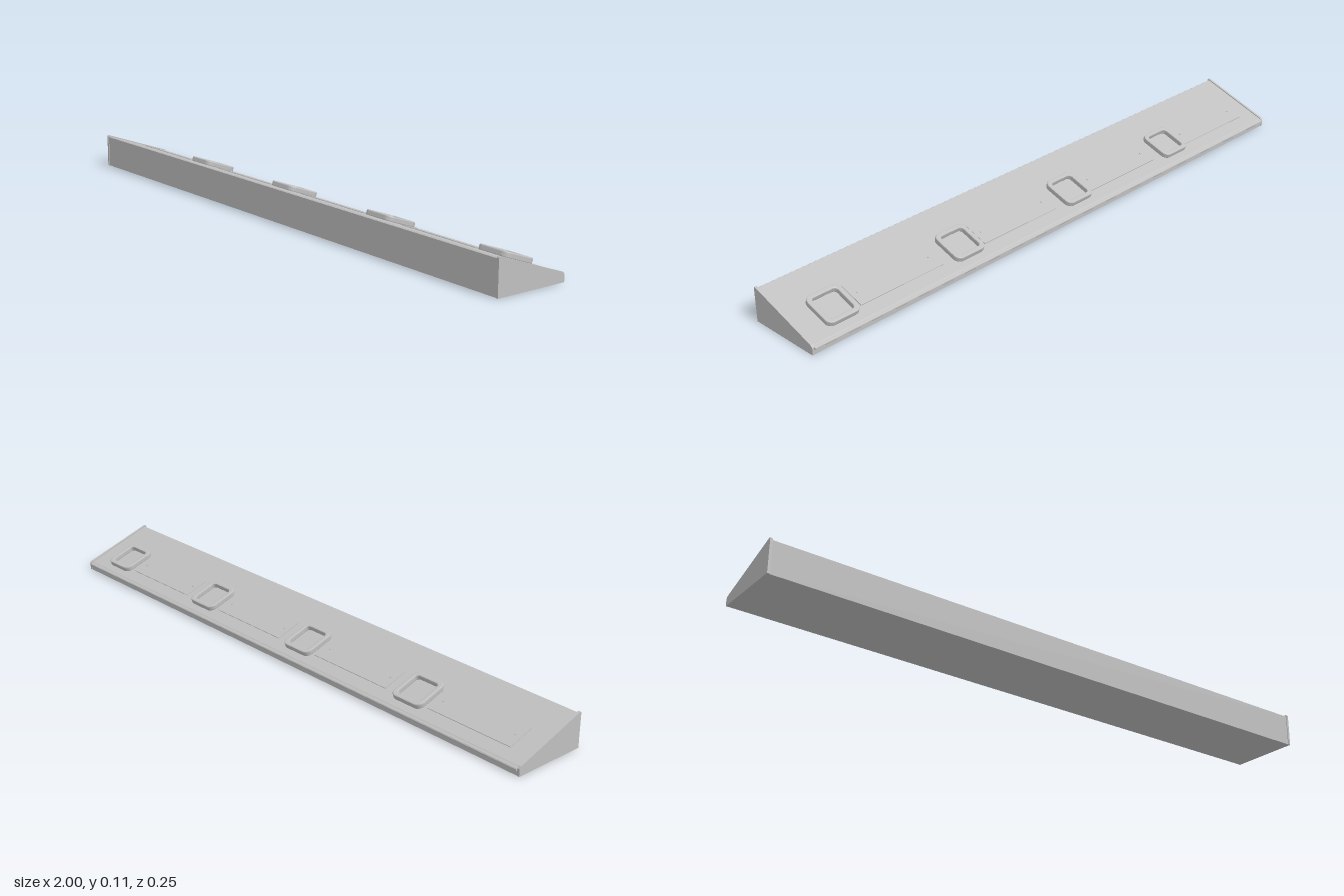
import * as THREE from 'three';

const SLOPE = 0.335; // tilt of the top face
const PITCH = 0.472; // spacing of the four repeated units

const grey = new THREE.MeshStandardMaterial({ color: 0xc0c0c0 });
grey.name = 'light grey';

function add(parent, name, geometry, x = 0, y = 0, z = 0) {
  const mesh = new THREE.Mesh(geometry, grey);
  mesh.name = name;
  mesh.position.set(x, y, z);
  parent.add(mesh);
  return mesh;
}

// Extrude a (z, y) side profile along x, centred on x = 0
function prism(points, length) {
  const shape = new THREE.Shape(points.map(([z, y]) => new THREE.Vector2(-z, y)));
  const g = new THREE.ExtrudeGeometry(shape, { depth: length, bevelEnabled: false });
  return g.translate(0, 0, -length / 2).rotateY(Math.PI / 2);
}

function roundedSquare(path, half, r) {
  path.moveTo(half, -half + r);
  path.absarc(half - r, half - r, r, 0, Math.PI / 2);
  path.absarc(-half + r, half - r, r, Math.PI / 2, Math.PI);
  path.absarc(-half + r, -half + r, r, Math.PI, Math.PI * 1.5);
  path.absarc(half - r, -half + r, r, Math.PI * 1.5, Math.PI * 2);
  return path;
}

// Raised square ring lying flat on y = 0
function ringGeometry() {
  const bevel = 0.003;
  const shape = roundedSquare(new THREE.Shape(), 0.058 - bevel, 0.019);
  shape.holes.push(roundedSquare(new THREE.Path(), 0.043 + bevel, 0.014));
  const g = new THREE.ExtrudeGeometry(shape, {
    depth: 0.011, bevelThickness: bevel, bevelSize: bevel, bevelSegments: 2, curveSegments: 5,
  });
  return g.rotateX(-Math.PI / 2);
}

export function createModel() {
  const model = new THREE.Group();
  model.name = 'wedgeConsole';

  // Long wedge body
  add(model, 'body', prism([
    [0.121, 0], [0.121, 0.104], [0.117, 0.1065], [-0.112, 0.0268], [-0.118, 0.022], [-0.118, 0],
  ], 1.984));

  // Slightly larger end plates
  const capProfile = [
    [0.123, 0], [0.123, 0.107], [0.121, 0.11], [0.117, 0.1098], [-0.113, 0.0295], [-0.119, 0.023], [-0.119, 0],
  ];
  for (const side of [-1, 1]) {
    add(model, side > 0 ? 'leftEndPlate' : 'rightEndPlate', prism(capProfile, 0.008), side * 0.996);
  }

  // Narrow lip along the rear edge
  add(model, 'rearLip', prism([
    [-0.115, 0.014], [-0.115, 0.025], [-0.121, 0.0225], [-0.123, 0.02], [-0.123, 0.016], [-0.121, 0.014],
  ], 1.984));

  // Fittings on the sloped face
  const deck = new THREE.Group();
  deck.name = 'slopedFittings';
  deck.position.set(0, 0.0658, 0);
  deck.rotation.x = -SLOPE;
  model.add(deck);

  const ring = ringGeometry();
  const panel = new THREE.BoxGeometry(0.305, 0.004, 0.085);
  const screw = new THREE.CylinderGeometry(0.003, 0.003, 0.003, 10);
  for (let i = 0; i < 4; i++) {
    add(deck, 'squareRing', ring, -0.553 + i * PITCH, 0.002, -0.038);
    const px = -0.775 + i * PITCH;
    add(deck, 'coverPanel', panel, px, 0, -0.034);
    for (const s of [-1, 1]) add(deck, 'panelScrew', screw, px + s * 0.131, 0.0025, -0.032);
  }
  return model;
}
